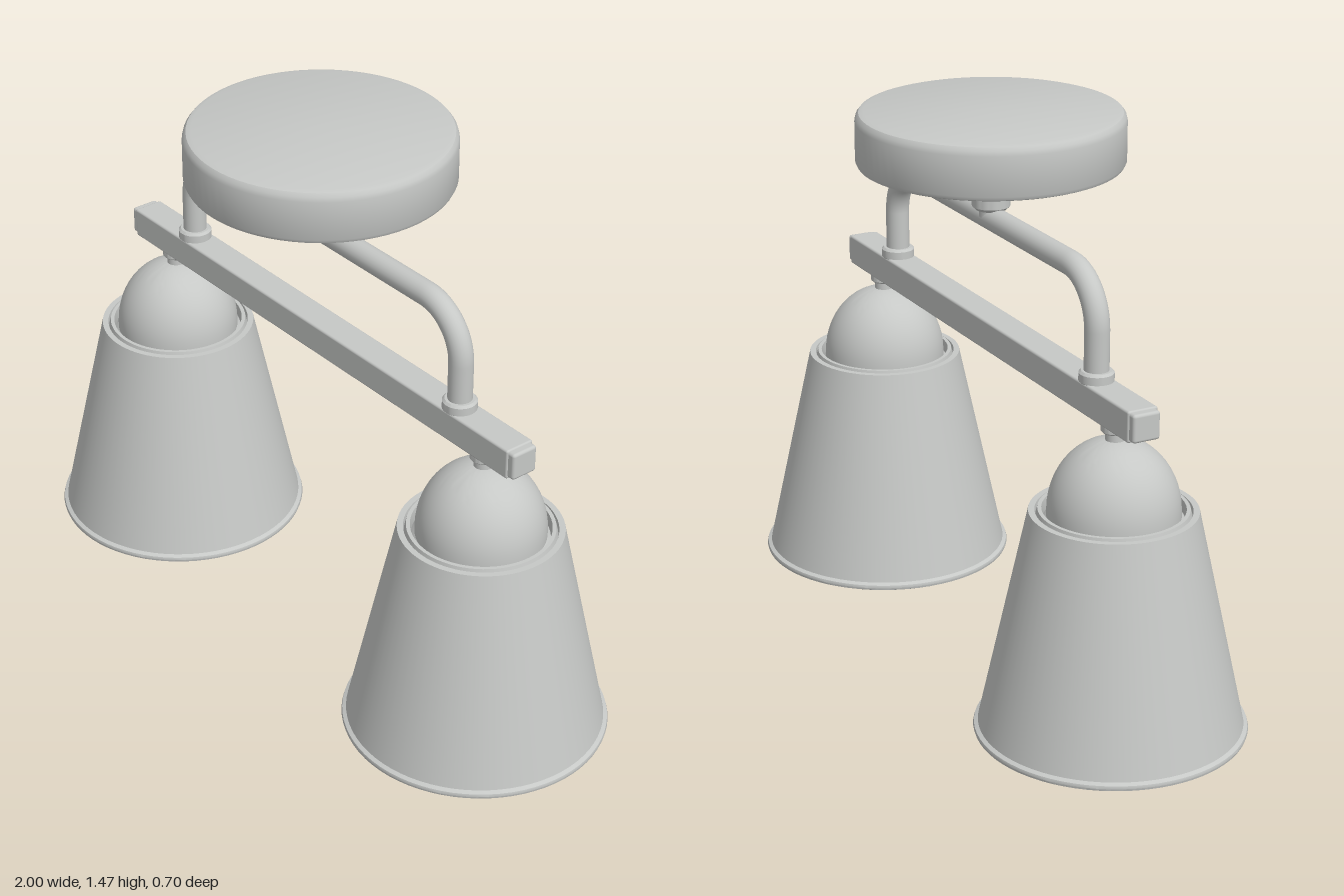
import * as THREE from 'three';
import { toCreasedNormals } from 'three/addons/utils/BufferGeometryUtils.js';
import { RoundedBoxGeometry } from 'three/addons/geometries/RoundedBoxGeometry.js';

const metal = new THREE.MeshStandardMaterial({ name: 'light grey', color: 0xc6c8c6 });

function add(parent, name, geometry, x = 0, y = 0, z = 0) {
  const mesh = new THREE.Mesh(geometry, metal);
  mesh.name = name;
  mesh.position.set(x, y, z);
  parent.add(mesh);
  return mesh;
}

// Profile points are [radius, height], outer side running upwards
function lathe(points, segments = 64) {
  const profile = points.map(([r, y]) => new THREE.Vector2(r, y));
  return toCreasedNormals(new THREE.LatheGeometry(profile, segments), 0.6);
}

// Arc of profile points around (0, cy) from angle a to angle b
function arc(rx, ry, cy, a, b, n = 14) {
  return Array.from({ length: n + 1 }, (_, i) => {
    const t = a + (b - a) * i / n;
    return [Math.max(0, rx * Math.cos(t)), cy + ry * Math.sin(t)];
  });
}

// Short turned ring with softened edges
function collar(r, y0, y1, b = 0.006) {
  return lathe([[0, y0], [r - b, y0], [r, y0 + b], [r, y1 - b], [r - b, y1], [0, y1]], 40);
}

function createLamp(x) {
  const lamp = new THREE.Group();
  lamp.name = 'lamp';
  lamp.position.x = x;

  // Thick conical shade with a rolled rim and a raised inner lip
  add(lamp, 'shade', lathe([
    [0.29, 0.02], [0.325, 0.018], [0.332, 0.004], [0.34, 0], [0.348, 0.004],
    [0.35, 0.01], [0.348, 0.017], [0.338, 0.022], [0.213, 0.6], [0.197, 0.6],
    [0.195, 0.585], [0.19, 0.605], [0.18, 0.605], [0.176, 0.57], [0.29, 0.02],
  ], 72));
  // Domed socket cover
  add(lamp, 'dome', lathe([
    [0, 0.55], [0.177, 0.55], [0.177, 0.575], [0.168, 0.585],
    ...arc(0.168, 0.19, 0.6, 0, Math.PI / 2),
  ]));
  // Round bulb with a tapering neck
  add(lamp, 'bulb', lathe([
    ...arc(0.17, 0.17, 0.185, -Math.PI / 2, 0.75, 20),
    [0.085, 0.36], [0.07, 0.42], [0.07, 0.56],
  ]));
  // Short stem joining the dome to the bar
  add(lamp, 'stem', new THREE.CylinderGeometry(0.025, 0.025, 0.05, 32), 0, 0.8);
  add(lamp, 'stemCollar', collar(0.036, 0.808, 0.832, 0.004));
  return lamp;
}

// Pipe centre line: two uprights, two quarter bends and a level run
function armCurve() {
  const v = (x, y) => new THREE.Vector3(x, y, 0);
  const X = 0.555, Y = 1.175, R = 0.135, k = R * 0.448;
  const path = new THREE.CurvePath();
  path.add(new THREE.LineCurve3(v(-X, 0.9), v(-X, Y - R)));
  path.add(new THREE.CubicBezierCurve3(v(-X, Y - R), v(-X, Y - k), v(-X + k, Y), v(-X + R, Y)));
  path.add(new THREE.LineCurve3(v(-X + R, Y), v(X - R, Y)));
  path.add(new THREE.CubicBezierCurve3(v(X - R, Y), v(X - k, Y), v(X, Y - k), v(X, Y - R)));
  path.add(new THREE.LineCurve3(v(X, Y - R), v(X, 0.9)));
  return path;
}

export function createModel() {
  const model = new THREE.Group();
  model.name = 'ceilingLight';

  // Ceiling plate
  add(model, 'ceilingPlate', lathe([
    [0, 1.322], [0.335, 1.322], [0.345, 1.326], [0.35, 1.336], [0.35, 1.44],
    [0.347, 1.452], [0.34, 1.461], [0.327, 1.465], [0, 1.465],
  ], 72));

  // Centre joint
  const nut = new THREE.CylinderGeometry(0.05, 0.05, 0.035, 6).toNonIndexed();
  nut.computeVertexNormals();
  add(model, 'hexNut', nut, 0, 1.307).rotation.y = Math.PI / 6;
  add(model, 'centreRod', new THREE.CylinderGeometry(0.032, 0.032, 0.13, 32), 0, 1.245);
  add(model, 'centreCollar', collar(0.05, 1.2, 1.246, 0.009));

  // Bent pipe
  add(model, 'arm', new THREE.TubeGeometry(armCurve(), 120, 0.032, 24));

  // Crossbar
  add(model, 'crossbar', new RoundedBoxGeometry(1.56, 0.082, 0.084, 3, 0.006), 0, 0.87);

  for (const side of [-1, 1]) {
    add(model, 'barEndCap', new RoundedBoxGeometry(0.04, 0.074, 0.076, 3, 0.008), side * 0.78, 0.87);
    add(model, 'armFoot', collar(0.045, 0.905, 0.938), side * 0.555);
    model.add(createLamp(side * 0.65));
  }
  return model;
}
